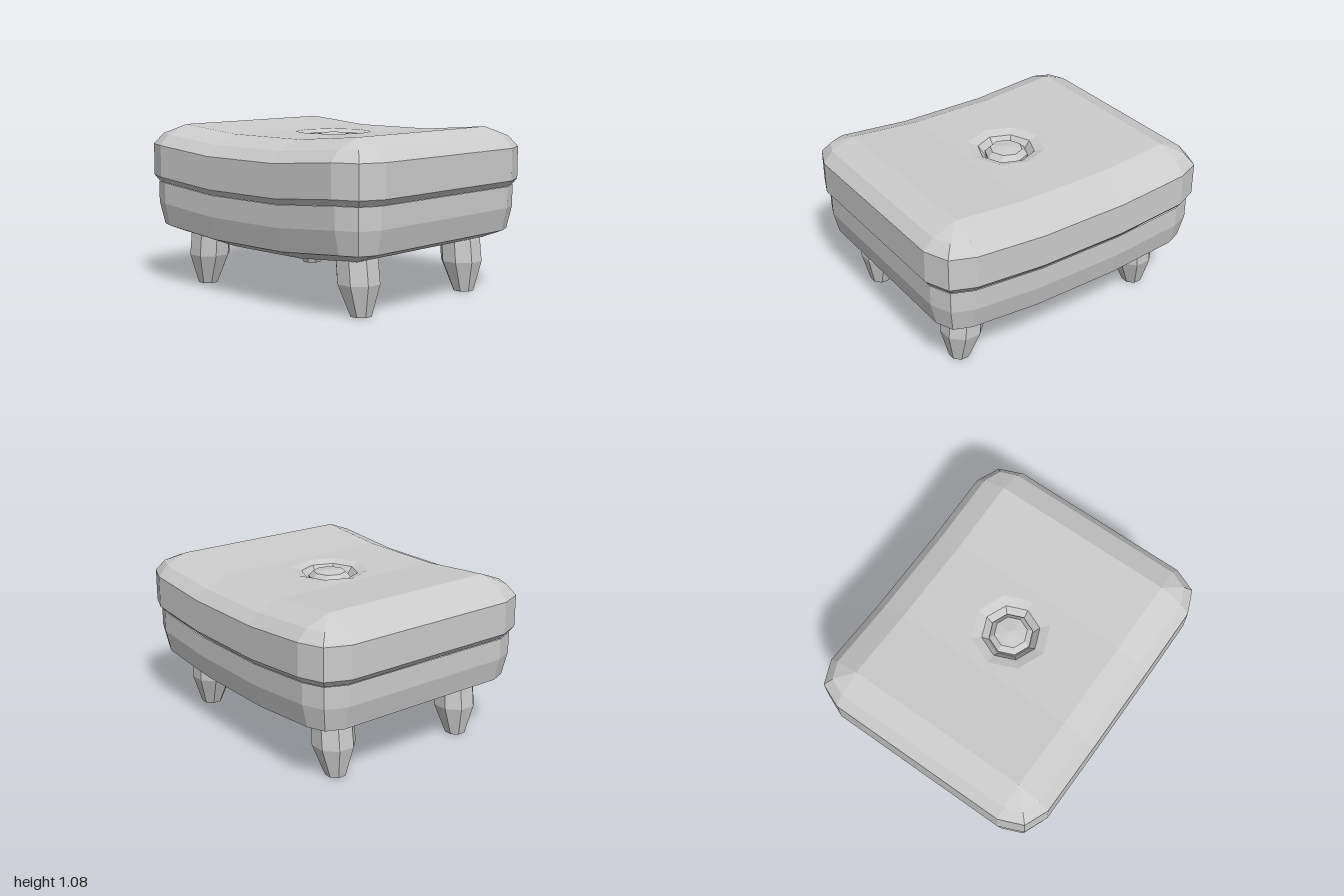
import * as THREE from 'three';

const CX = 0.78, CZ = 0.61, MID = 0.3;
const material = new THREE.MeshStandardMaterial({ color: 0xcccccc, flatShading: true });

// Height lost towards the middle: flat centre strip, sloping up to both ends
const sag = (x) => -0.04 * THREE.MathUtils.clamp((CX - Math.abs(x)) / (CX - MID), 0, 1);

// Rounded rectangle: core rectangle grown by r, three points per corner, split where the sag bends
function ring(y, r) {
  const pts = [];
  const add = (x, z) => pts.push([x, y + sag(x), z]);
  const signs = [[1, 1], [-1, 1], [-1, -1], [1, -1]];
  signs.forEach(([sx, sz], q) => {
    for (let k = 0; k < 3; k++) {
      const a = (q + k / 2) * Math.PI / 2;
      // keep the corner columns exactly on the core edge
      add(sx * CX + r * Math.cos(a), sz * CZ + r * Math.sin(a));
    }
    if (q % 2 === 0) {
      add(sx * MID, sz * (CZ + r));
      add(-sx * MID, sz * (CZ + r));
    }
  });
  return pts;
}

// Skin between stacked rings, plus sagging cap strips
function padGeometry(levels, caps) {
  const pos = [];
  const quad = (a, b, c, d) => pos.push(...a, ...b, ...c, ...a, ...c, ...d);
  const rings = levels.map(([y, r]) => ring(y, r));
  for (let j = 0; j < rings.length - 1; j++) {
    const lo = rings[j], hi = rings[j + 1];
    lo.forEach((p, i) => {
      const n = (i + 1) % lo.length;
      quad(p, hi[i], hi[n], lo[n]);
    });
  }
  for (const { y, x0, x1, up } of caps) {
    const p = (x, z) => [x, y + sag(x), z];
    const c = [p(x0, CZ), p(x1, CZ), p(x1, -CZ), p(x0, -CZ)];
    quad(...(up ? c : c.reverse()));
  }
  const g = new THREE.BufferGeometry();
  g.setAttribute('position', new THREE.Float32BufferAttribute(pos, 3));
  g.computeVertexNormals();
  return g;
}

const lathe = (profile) =>
  new THREE.LatheGeometry(profile.map(([r, y]) => new THREE.Vector2(r, y)), 8);

// Eight-sided tapered leg that leans outward along x
function legGeometry(side) {
  const g = lathe([[0, 0], [0.068, 0], [0.138, 0.2], [0.136, 0.34], [0.13, 0.41]]);
  g.rotateY(Math.PI / 8);
  const p = g.attributes.position;
  for (let i = 0; i < p.count; i++) {
    const y = p.getY(i);
    p.setX(i, p.getX(i) + side * (0.71 - 0.1 * y));
  }
  g.computeVertexNormals();
  return g;
}

export function createModel() {
  const model = new THREE.Group();
  model.name = 'footstool';
  const add = (name, geometry) => {
    const mesh = new THREE.Mesh(geometry, material);
    mesh.name = name;
    model.add(mesh);
    return mesh;
  };

  // Upholstered base
  const y0 = 0.35;
  add('base', padGeometry(
    [[y0, 0], [0.41, 0.155], [0.56, 0.19], [0.7, 0.19]],
    [[-CX, -MID], [-MID, MID], [MID, CX]].map(([x0, x1]) => ({ y: y0, x0, x1, up: false }))
  ));

  // Cushion with an overhanging lower lip; the centre strip is left open for the dimple
  const y1 = 1.08;
  add('cushion', padGeometry(
    [[0.7, 0.185], [0.74, 0.22], [0.95, 0.22], [1.02, 0.155], [y1, 0]],
    [[-CX, -MID], [MID, CX]].map(([x0, x1]) => ({ y: y1, x0, x1, up: true }))
  ));

  // Centre strip of the cushion top, with an octagonal hole
  const octagon = (r) => Array.from({ length: 8 }, (_, i) =>
    new THREE.Vector2(r * Math.cos(i * Math.PI / 4), r * Math.sin(i * Math.PI / 4)));
  const strip = new THREE.Shape([
    new THREE.Vector2(-MID, -CZ), new THREE.Vector2(MID, -CZ),
    new THREE.Vector2(MID, CZ), new THREE.Vector2(-MID, CZ)]);
  strip.holes.push(new THREE.Path(octagon(0.25)));
  const top = y1 - 0.04;
  add('cushionCentre', new THREE.ShapeGeometry(strip).rotateX(-Math.PI / 2)).position.y = top;

  // Tufted dimple and its button
  add('dimple', lathe([[0.25, top], [0.185, top - 0.02], [0.14, top - 0.08], [0, top - 0.08]]));
  add('button', lathe([[0.135, top - 0.08], [0.14, top - 0.05], [0.105, top - 0.015], [0, top]]));

  // Legs
  for (const side of [-1, 1]) {
    for (const z of [-0.5, 0.5]) {
      const name = (z > 0 ? 'front' : 'back') + (side > 0 ? 'Left' : 'Right') + 'Leg';
      add(name, legGeometry(side)).position.z = z;
    }
  }
  return model;
}
